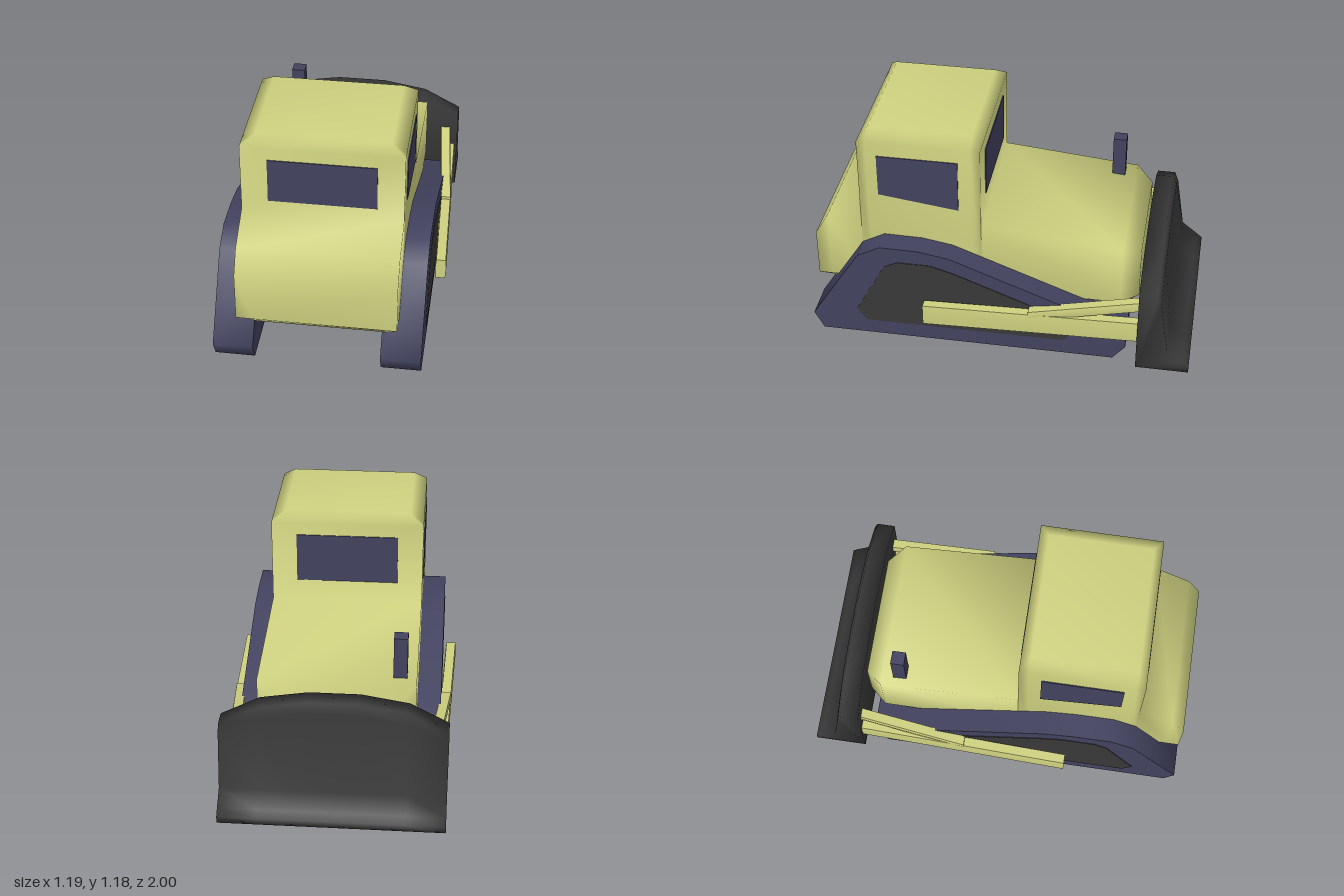
import * as THREE from 'three';
import { mergeVertices, toCreasedNormals } from 'three/addons/utils/BufferGeometryUtils.js';

const paint = (name, color) => {
  const m = new THREE.MeshStandardMaterial({ color });
  m.name = name;
  return m;
};

// Skin a list of closed rings (equal point counts) and cap both ends
function loft(rings) {
  const n = rings[0].length, last = (rings.length - 1) * n, index = [];
  for (let i = 0; i < rings.length - 1; i++) {
    for (let j = 0; j < n; j++) {
      const a = i * n + j, b = i * n + (j + 1) % n;
      index.push(a, a + n, b, b, a + n, b + n);
    }
  }
  for (let j = 1; j < n - 1; j++) {
    index.push(0, j, j + 1, last, last + j + 1, last + j);
  }
  const g = new THREE.BufferGeometry();
  g.setAttribute('position', new THREE.Float32BufferAttribute(rings.flat(2), 3));
  g.setIndex(index);
  return g;
}

// Weld the corners so the whole surface shades softly
function smooth(g) {
  const welded = mergeVertices(g, 1e-4);
  welded.computeVertexNormals();
  return welded;
}

// Slab cut from a (z, y) outline, running from x0 to x0 + depth
function sideSlab(points, x0, depth) {
  const shape = new THREE.Shape(points.map(([z, y]) => new THREE.Vector2(-z, y)));
  return new THREE.ExtrudeGeometry(shape, { depth, bevelEnabled: false })
    .rotateY(Math.PI / 2).translate(x0, 0, 0);
}

// Six-sided beam between two points, w and h being half sizes
function beam(from, to, w, h) {
  const section = [[-0.85, -1], [0.85, -1], [1, 0.15], [0.85, 1], [-0.85, 1], [-1, 0.15]];
  const ring = ([x, y, z]) => section.map(([u, v]) => [x + u * w, y + v * h, z]);
  return toCreasedNormals(loft([ring(from), ring(to)]), 0.5);
}

export function createModel() {
  const yellow = paint('yellow paint', 0xced17f);
  const navy = paint('dark blue', 0x42425f);
  const grey = paint('dark grey', 0x383838);

  const model = new THREE.Group();
  model.name = 'bulldozer';
  const add = (name, geometry, material) => {
    const mesh = new THREE.Mesh(geometry, material);
    mesh.name = name;
    model.add(mesh);
  };

  // Hull and cab: z, bottom, shoulder height, top, half width, top half width
  const stations = [
    [0.99, 0.28, 0.54, 0.54, 0.4, 0.4],
    [0.92, 0.21, 0.66, 0.66, 0.4, 0.4],
    [0.74, 0.21, 0.77, 0.77, 0.4, 0.4],
    [0.74, 0.21, 1.13, 1.13, 0.4, 0.4],
    [0.695, 0.21, 1.13, 1.18, 0.4, 0.33],
    [0.16, 0.21, 1.13, 1.18, 0.4, 0.33],
    [0.11, 0.21, 1.13, 1.13, 0.4, 0.4],
    [0.11, 0.21, 0.68, 0.68, 0.4, 0.4],
    [-0.62, 0.21, 0.61, 0.61, 0.4, 0.4],
    [-0.71, 0.28, 0.56, 0.56, 0.32, 0.32],
  ];
  const bodyRings = stations.map(([z, bottom, shoulder, top, w, tw]) => [
    [-0.32, bottom, z], [0.32, bottom, z], [w, 0.28, z], [w, shoulder, z],
    [tw, top, z], [-tw, top, z], [-w, shoulder, z], [-w, 0.28, z],
  ]);
  add('body', smooth(loft(bodyRings)), yellow);

  // Cab windows
  const rearWindow = new THREE.BoxGeometry(0.535, 0.235, 0.008).translate(0, 0.945, 0.741);
  add('rearWindow', rearWindow, navy);
  const frontWindow = new THREE.BoxGeometry(0.535, 0.265, 0.008).translate(0, 0.93, 0.109);
  add('frontWindow', frontWindow, navy);
  const sideWindow = [[0.64, 0.825], [0.225, 0.77], [0.225, 1.055], [0.64, 1.055]];

  // Track outline and its inner panel
  const track = [
    [0.95, 0.005], [-0.6, 0.005], [-0.665, 0.085], [-0.665, 0.19], [-0.35, 0.31],
    [0.26, 0.545], [0.42, 0.572], [0.62, 0.575], [0.74, 0.51], [1, 0.1],
  ];
  const panel = [
    [0.71, 0.09], [-0.34, 0.09], [-0.4, 0.16], [-0.39, 0.21], [0.24, 0.455],
    [0.36, 0.49], [0.53, 0.49], [0.6, 0.455], [0.76, 0.16],
  ];

  for (const [label, s] of [['left', 1], ['right', -1]]) {
    // Slabs measured from the centre plane outwards
    const slab = (points, inner, depth) =>
      sideSlab(points, s > 0 ? inner : -inner - depth, depth);
    add(label + 'Window', slab(sideWindow, 0.397, 0.008), navy);
    add(label + 'Track', toCreasedNormals(slab(track, 0.32, 0.203), 1.2), navy);
    add(label + 'TrackPanel', slab(panel, 0.519, 0.007), grey);
    // Push arm and the strut bracing it
    add(label + 'PushArm',
      beam([s * 0.568, 0.218, 0.39], [s * 0.53, 0.218, -0.75], 0.029, 0.058), yellow);
    add(label + 'Strut',
      beam([s * 0.55, 0.265, -0.16], [s * 0.498, 0.365, -0.76], 0.029, 0.027), yellow);
  }

  // Blade: one side profile swept across x, with the top falling to the ends
  const bladeTops = [
    [0.57, 0.47], [0.37, 0.575], [0.13, 0.615], [-0.13, 0.615], [-0.37, 0.575], [-0.57, 0.47],
  ];
  const bladeRings = bladeTops.map(([x, top]) => [
    [x, 0, -0.725], [x, 0, -1], [x, 0.035, -1], [x, 0.065, -0.965], [x, 0.13, -0.885],
    [x, top - 0.05, -0.84], [x, top, -0.82], [x, top, -0.725],
  ]);
  add('blade', smooth(loft(bladeRings)), grey);

  // Exhaust stack
  add('exhaust', new THREE.BoxGeometry(0.07, 0.26, 0.07).translate(-0.316, 0.71, -0.525), navy);

  return model;
}
